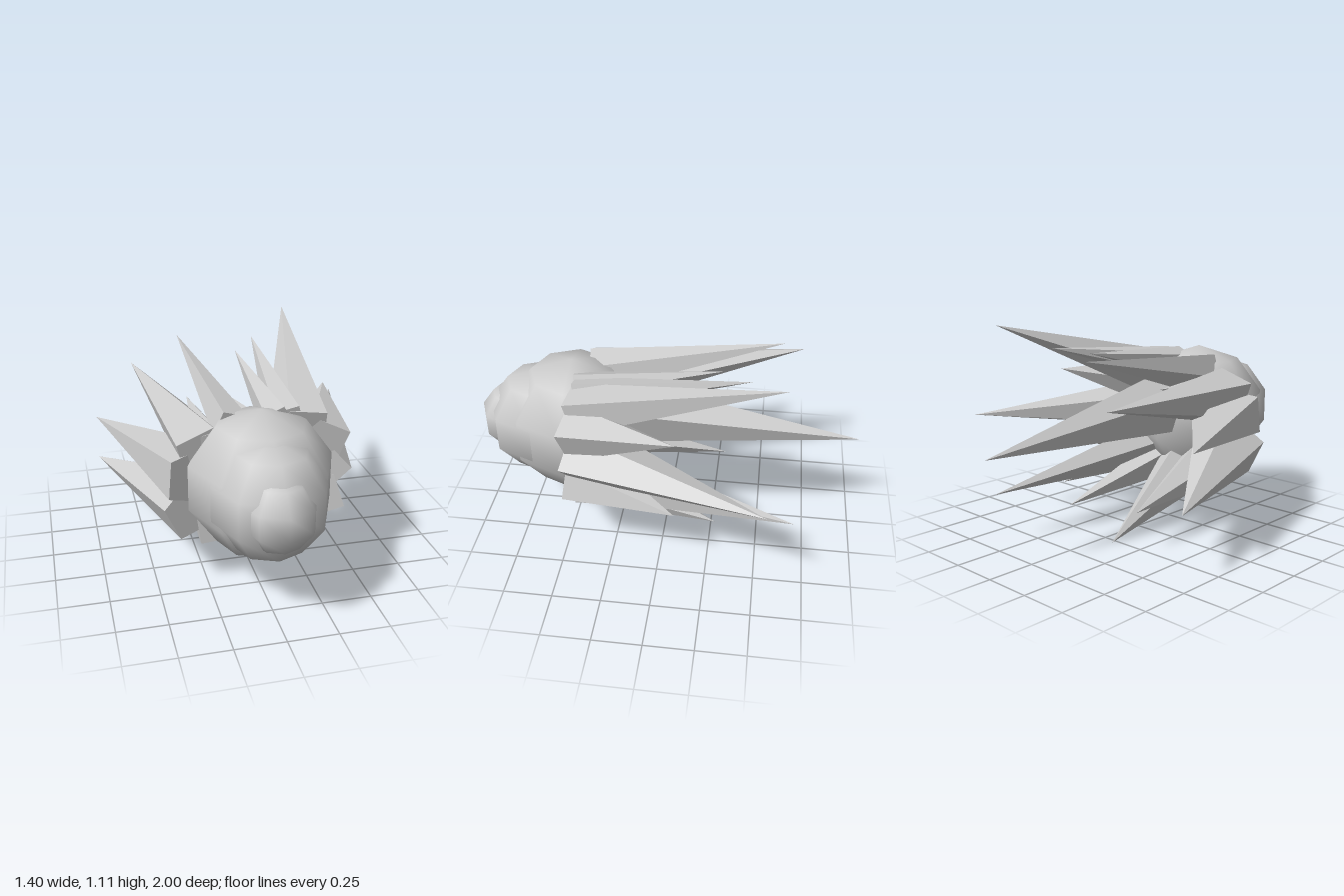
import * as THREE from 'three';

export function createModel() {
  const group = new THREE.Group();
  const grey = new THREE.MeshStandardMaterial({ color: 0xcccccc });
  grey.name = 'stone grey';
  const spikeGrey = grey.clone();
  spikeGrey.name = 'spike grey';
  spikeGrey.flatShading = true;

  // Head: three overlapping coarse spheres, stepping forward to the snout
  const balls = [
    ['body', 0.37, 0.5],
    ['face', 0.295, 0.675],
    ['snout', 0.185, 0.825],
  ];
  for (const [name, radius, z] of balls) {
    const ball = new THREE.Mesh(new THREE.SphereGeometry(radius, 8, 5), grey);
    ball.name = name;
    ball.position.set(0, 0.57, z);
    group.add(ball);
  }

  // A five-sided spike, deeper than wide, its inner half sunk into the head
  function addSpike([bx, by, bz, tx, ty, tz, size, roll = 0]) {
    const base = new THREE.Vector3(bx, by, bz);
    const tip = new THREE.Vector3(tx, ty, tz);
    const axis = tip.clone().sub(base).normalize();
    const out = new THREE.Vector3(bx, by - 0.57, 0);
    out.addScaledVector(axis, -out.dot(axis)).normalize();
    base.addScaledVector(out, -size * 0.6);
    axis.copy(tip).sub(base);
    const side = axis.clone().cross(out).normalize();
    const geo = new THREE.ConeGeometry(1, 1, 5);
    geo.translate(0, 0.5, 0);
    geo.rotateY(roll);
    geo.applyMatrix4(new THREE.Matrix4().makeBasis(
      side.multiplyScalar(size * 1.25), axis, out.multiplyScalar(size * 1.6)));
    geo.translate(base.x, base.y, base.z);
    const spike = new THREE.Mesh(geo, spikeGrey);
    spike.name = 'spike';
    group.add(spike);
  }

  // Base point, tip point, size, roll
  const flat = Math.PI / 5;
  const spikes = [
    // long middle spike
    [0, 0.74, 0.36, 0, 0.57, -1.0, 0.13],
    // upper ring
    [0.25, 0.81, 0.45, 0.41, 1.11, -0.6, 0.11],
    [0.16, 0.86, 0.45, 0.185, 1.0, -0.43, 0.07],
    [0.1, 0.87, 0.46, 0.06, 0.97, -0.29, 0.06],
    [-0.13, 0.84, 0.42, -0.21, 0.99, -0.58, 0.08],
    [-0.25, 0.75, 0.44, -0.245, 0.8, -0.1, 0.08],
    [-0.29, 0.72, 0.44, -0.465, 0.81, -0.69, 0.12],
    // left flank
    [0.34, 0.73, 0.46, 0.5, 0.82, -0.09, 0.12],
    [0.35, 0.58, 0.45, 0.7, 0.6, -0.54, 0.12],
    [0.34, 0.42, 0.46, 0.515, 0.4, -0.09, 0.11],
    // right flank
    [-0.35, 0.6, 0.45, -0.7, 0.61, -0.39, 0.13, flat],
    [-0.35, 0.41, 0.45, -0.7, 0.34, -0.46, 0.13, flat],
    // lower ring
    [0.24, 0.36, 0.43, 0.35, 0.26, -0.69, 0.11],
    [0.25, 0.3, 0.45, 0.29, 0.25, -0.28, 0.08],
    [0.17, 0.27, 0.45, 0.24, 0.13, -0.28, 0.1],
    [-0.03, 0.26, 0.45, -0.08, 0.0, -0.28, 0.12, flat * 0.7],
    [-0.22, 0.31, 0.44, -0.27, 0.21, -0.3, 0.1],
  ];
  spikes.forEach(addSpike);

  return group;
}
